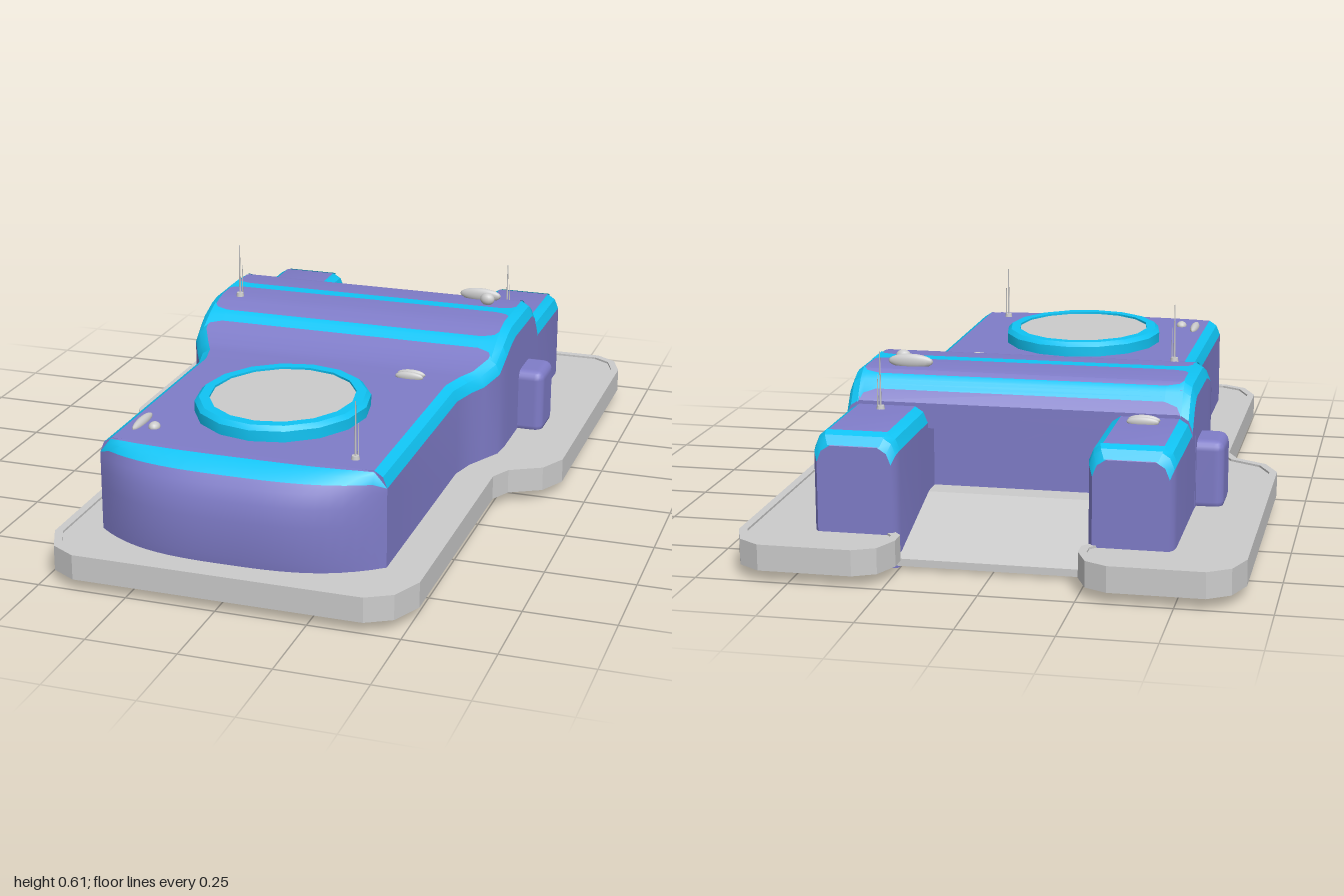
import * as THREE from 'three';
import { toCreasedNormals } from 'three/addons/utils/BufferGeometryUtils.js';
import { RoundedBoxGeometry } from 'three/addons/geometries/RoundedBoxGeometry.js';

const material = (color) => new THREE.MeshStandardMaterial({ color, side: THREE.DoubleSide });
const purple = material(0x7f7cc8), cyan = material(0x10c4f4), grey = material(0xcccccc);

function add(parent, name, geometry, mat, x = 0, y = 0, z = 0) {
  const mesh = new THREE.Mesh(geometry, mat);
  mesh.name = name;
  mesh.position.set(x, y, z);
  parent.add(mesh);
  return mesh;
}

// Surface through rows of [x, y, z] points
function grid(rows) {
  const n = rows[0].length, index = [];
  for (let i = 0; i < rows.length - 1; i++)
    for (let j = 0; j < n - 1; j++) {
      const a = i * n + j, b = a + 1, d = a + n, c = d + 1;
      index.push(a, b, c, a, c, d);
    }
  const g = new THREE.BufferGeometry();
  g.setAttribute('position', new THREE.Float32BufferAttribute(rows.flat(2), 3));
  g.setIndex(index);
  return toCreasedNormals(g, 0.6);
}

// Box-like hull through stations [z, left, right, top, bottom], with bevelled cyan top edges
function hull(parent, name, stations) {
  const rows = stations.map(([z, l, r, h, b]) => [
    [l, b], [l, h - 0.045], [l + 0.012, h - 0.015], [l + 0.035, h],
    [r - 0.035, h], [r - 0.012, h - 0.015], [r, h - 0.045], [r, b], [l, b],
  ].map(([x, y]) => [x, y, z]));
  const strip = (part, from, to, mat) =>
    add(parent, name + part, grid(rows.map((row) => row.slice(from, to + 1))), mat);
  strip('RightSide', 0, 1, purple);
  strip('RightTrim', 1, 3, cyan);
  strip('Top', 3, 4, purple);
  strip('LeftTrim', 4, 6, cyan);
  strip('LeftSide', 6, 7, purple);
  strip('Bottom', 7, 8, purple);
  const centre = ([z, l, r, h, b]) => rows[0].map(() => [(l + r) / 2, (h + b) / 2, z]);
  add(parent, name + 'FrontCap', grid([centre(stations[0]), rows[0]]), purple);
  add(parent, name + 'BackCap', grid([rows.at(-1), centre(stations.at(-1))]), purple);
}

// Extrude a plan outline of [x, z] points upward from y0
function slab(outline, y0, height, hole) {
  const toShape = (pts) => pts.map(([x, z]) => new THREE.Vector2(x, -z));
  const shape = new THREE.Shape(toShape(outline));
  if (hole) shape.holes.push(new THREE.Path(toShape(hole)));
  const g = new THREE.ExtrudeGeometry(shape, { depth: height, bevelEnabled: false });
  return g.rotateX(-Math.PI / 2).translate(0, y0, 0);
}

// Move an outline inward by a fixed distance
function inset(pts, d) {
  return pts.map((p, i) => {
    const a = pts.at(i - 1), b = pts[(i + 1) % pts.length];
    const u = new THREE.Vector2(p[0] - a[0], p[1] - a[1]).normalize();
    const v = new THREE.Vector2(b[0] - p[0], b[1] - p[1]).normalize();
    const k = d / (1 + u.dot(v));
    return [p[0] + (u.y + v.y) * k, p[1] - (u.x + v.x) * k];
  });
}

export function createModel() {
  const model = new THREE.Group();
  model.name = 'vehicle';

  // Tray: rim skirt and thin floor
  const half = [[0.4, 1], [0.47, 0.96], [0.51, 0.87], [0.51, 0.13], [0.54, 0.07], [0.63, 0.02],
    [0.67, -0.06], [0.67, -0.88], [0.64, -0.96], [0.58, -1], [0.33, -1], [0.27, -0.97],
    [0.24, -0.9], [0.24, -0.85], [0.265, -0.82], [0.265, -0.51]];
  const outline = [...half, ...half.map(([x, z]) => [-x, z]).reverse()];
  const inner = inset(outline, 0.022);
  add(model, 'trayRim', slab(outline, 0.03, 0.07, inner), grey);
  add(model, 'trayFloor', slab(inner, 0.08, 0.014), grey);

  // Main body: [z, half width, top]
  const plan = [[0.8, 0.4, 0.36], [0.13, 0.4, 0.36], [0.05, 0.42, 0.36], [0, 0.445, 0.363],
    [-0.06, 0.475, 0.385], [-0.12, 0.48, 0.42], [-0.18, 0.48, 0.442], [-0.22, 0.48, 0.45],
    [-0.42, 0.48, 0.45], [-0.44, 0.48, 0.446], [-0.47, 0.48, 0.428], [-0.51, 0.48, 0.37]];
  const station = (bottom) => ([z, w, h]) => [z, -w, w, h, bottom];
  hull(model, 'body', plan.slice(0, 10).map(station(0.075)));
  hull(model, 'bayLintel', plan.slice(9).map(station(0.3)));
  const topAt = (z) => {
    const i = Math.max(1, plan.findIndex((p) => p[0] <= z));
    const [a, b] = [plan[i - 1], plan[i]];
    return THREE.MathUtils.mapLinear(z, a[0], b[0], a[2], b[2]);
  };

  // Bowed nose with a cyan upper edge
  const noseRow = ([f, y]) => Array.from({ length: 25 }, (_, i) => {
    const x = -0.4 + i / 30, a = Math.abs(x) / 0.4;
    const drop = Math.max(0, (Math.abs(x) - 0.365) / 0.035) * 0.045;
    return [x, Math.min(y, 0.36 - drop), 0.8 + 0.12 * f * (1 - a ** 3)];
  });
  const nose = [[0, 0.075], [0.92, 0.075], [1, 0.12], [1, 0.22], [0.93, 0.27], [0.8, 0.305],
    [0.66, 0.328], [0.45, 0.347], [0.2, 0.359], [0, 0.36]].map(noseRow);
  add(model, 'noseFront', grid(nose.slice(0, 7)), purple);
  add(model, 'noseTrim', grid(nose.slice(6, 9)), cyan);
  add(model, 'noseTop', grid(nose.slice(8)), purple);

  // Cyan bands across the raised roof, flared where they meet the side trim
  const columns = [[-0.448, 2.4], [-0.435, 1.5], [-0.4, 1], [0.4, 1], [0.435, 1.5], [0.448, 2.4]];
  for (const [zc, width] of [[-0.11, 0.021], [-0.31, 0.021], [-0.475, 0.016]]) {
    const rows = [1, 0.5, 0, -0.5, -1].map((t) => columns.map(([x, flare]) => {
      const z = zc + t * width * flare;
      return [x, topAt(z) + 0.003, z];
    }));
    add(model, 'roofBand', grid(rows), cyan);
  }

  // Belly slab under the raised section
  const belly = new THREE.Shape([[0.1, 0.08], [0.2, 0.025], [0.26, 0.01], [0.51, 0.01], [0.53, 0.08]]
    .map(([z, y]) => new THREE.Vector2(z, y)));
  const bellyGeometry = new THREE.ExtrudeGeometry(belly, { depth: 0.958, bevelEnabled: false });
  add(model, 'belly', bellyGeometry.rotateY(Math.PI / 2), purple, -0.479);

  // Loading ramp between the rear arms
  const ramp = new THREE.Shape([[0.44, 0.12], [0.51, 0.12], [0.835, 0.03], [0.835, 0.01], [0.44, 0.02]]
    .map(([z, y]) => new THREE.Vector2(z, y)));
  const rampGeometry = new THREE.ExtrudeGeometry(ramp, { depth: 0.52, bevelEnabled: false });
  add(model, 'ramp', rampGeometry.rotateY(Math.PI / 2), grey, -0.26);

  // Rear arms, bay pillars and side pods
  for (const s of [-1, 1]) {
    const arm = [[-0.5, 0.25, 0.479, 0.36, 0], [-0.8, 0.25, 0.479, 0.36, 0],
      [-0.825, 0.255, 0.475, 0.352, 0], [-0.84, 0.265, 0.465, 0.328, 0.004]]
      .map(([z, a, b, h, y]) => [z, s > 0 ? a : -b, s > 0 ? b : -a, h, y]);
    hull(model, 'rearArm', arm);
    add(model, 'rearArmTrim', grid(arm.slice(1).map(([z, l, r, h]) =>
      [[l + 0.03, h + 0.002, z], [r - 0.03, h + 0.002, z]])), cyan);
    add(model, 'bayPillar', new THREE.BoxGeometry(0.228, 0.3, 0.075), purple, s * 0.365, 0.165, -0.47);
    add(model, 'sidePod', new RoundedBoxGeometry(0.12, 0.2, 0.145, 2, 0.028), purple, s * 0.495, 0.178, -0.35);
  }

  // Oval hatch: cyan ring and grey lid
  const ring = new THREE.LatheGeometry([[0.2, 0.03], [0.2, 0.042], [0.228, 0.042], [0.24, 0.03], [0.24, -0.01]]
    .map(([r, y]) => new THREE.Vector2(r, y)).reverse(), 16);
  const hatch = add(model, 'hatchRing', toCreasedNormals(ring, 0.5), cyan, -0.01, 0.36, 0.445);
  hatch.scale.z = 1.1;
  const lid = add(model, 'hatchLid', new THREE.CylinderGeometry(0.202, 0.202, 0.04, 32), grey, -0.01, 0.376, 0.445);
  lid.scale.z = 1.1;

  // Antennas: a foot, a tall whip and a short one beside it
  for (const [x, y, z, height] of [[0.295, 0.36, 0.74, 0.16], [0.37, 0.36, -0.555, 0.16], [-0.387, 0.45, -0.21, 0.16]]) {
    add(model, 'antennaFoot', new THREE.CylinderGeometry(0.01, 0.012, 0.012, 10), grey, x, y + 0.004, z);
    add(model, 'antenna', new THREE.CylinderGeometry(0.0015, 0.003, height, 6), grey, x, y + height / 2, z);
    add(model, 'shortAntenna', new THREE.CylinderGeometry(0.001, 0.002, height * 0.6, 6), grey, x + 0.006, y + height * 0.3, z - 0.006);
  }

  // Small rounded fittings: [name, x, y, z, half sizes]
  const fittings = [
    ['vent', -0.355, 0.365, -0.58, 0.044, 0.014, 0.009], ['vent', -0.355, 0.365, -0.557, 0.044, 0.014, 0.009],
    ['vent', 0.25, 0.365, 0.084, 0.042, 0.014, 0.009], ['vent', 0.25, 0.365, 0.106, 0.042, 0.014, 0.009],
    ['sensorBar', 0.322, 0.463, -0.41, 0.064, 0.021, 0.013], ['sensor', 0.355, 0.466, -0.365, 0.022, 0.019, 0.017],
    ['lampBar', -0.333, 0.362, 0.67, 0.013, 0.014, 0.063], ['lamp', -0.287, 0.362, 0.695, 0.016, 0.014, 0.019],
  ];
  for (const [name, x, y, z, ...size] of fittings)
    add(model, name, new THREE.SphereGeometry(1, 16, 10), grey, x, y, z).scale.set(...size);

  return model;
}
